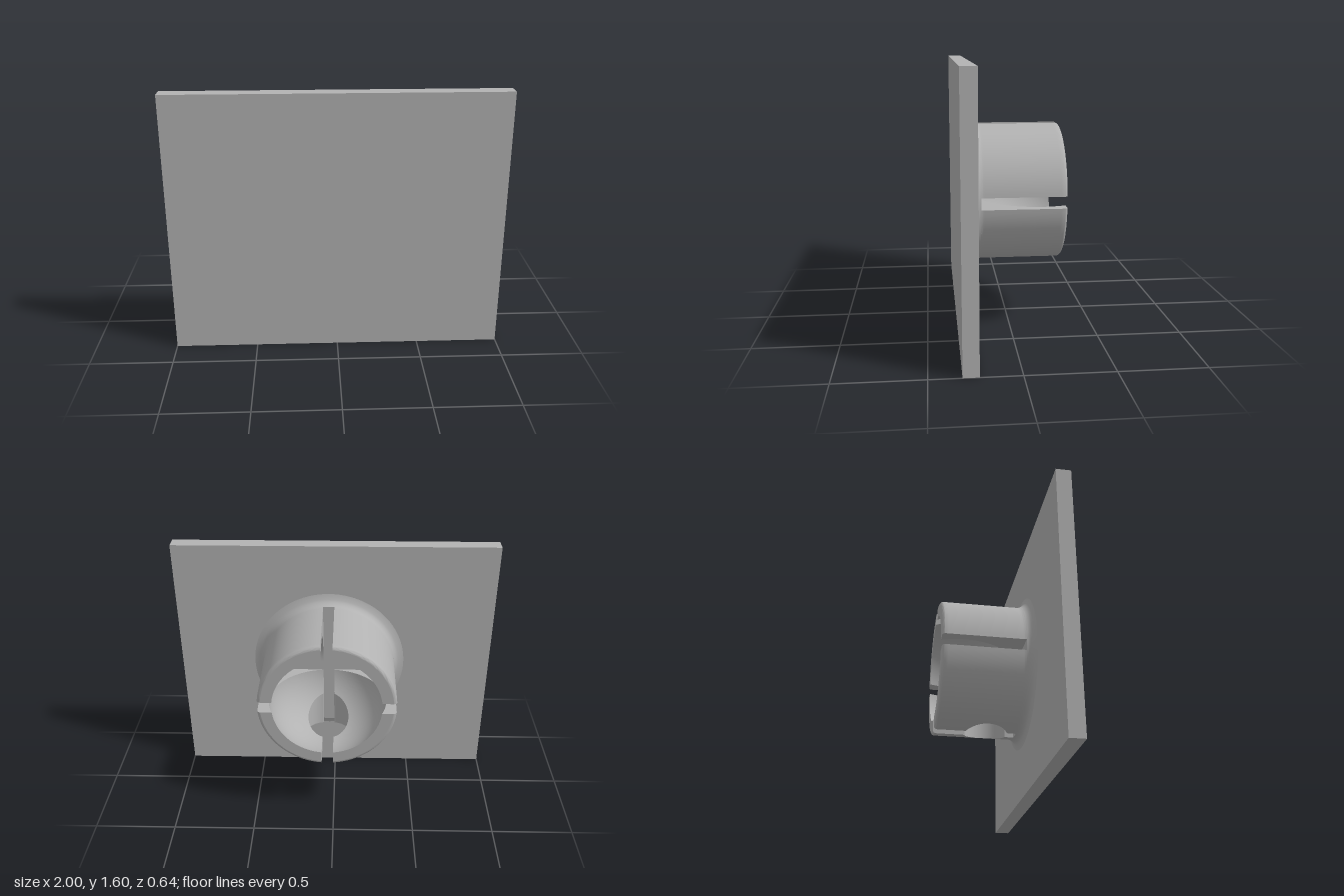
import * as THREE from 'three';
import { toCreasedNormals } from 'three/addons/utils/BufferGeometryUtils.js';

const CX = 0.04, CY = 0.8;              // socket axis
const OUT = 0.42, RIM = -0.32;          // outer radius, mouth position
const BALL = 0.36, BALL_Z = -0.18;      // spherical cavity
const FLOOR = 0.18, BACK = 0.23;        // slot floor, plate's rear face
const HALF_SLOT = 0.035, HOLE = 0.13;   // slot half width, drain hole radius
const FILLET = 0.065, ROUND = 0.02;

// Radii of the socket wall at depth z
function outerR(z) {
  if (z < RIM + ROUND) {
    const d = RIM + ROUND - z;
    return OUT - ROUND + Math.sqrt(Math.max(0, ROUND * ROUND - d * d));
  }
  const d = z - (BACK - FILLET);
  return d > 0 ? OUT + FILLET - Math.sqrt(Math.max(0, FILLET * FILLET - d * d)) : OUT;
}
const innerR = z => Math.max(0.05, Math.sqrt(Math.max(0, BALL * BALL - (z - BALL_Z) ** 2)));

// Surface through a grid of points
function grid(rows, cols, point, flip) {
  const pos = [], idx = [];
  for (let i = 0; i <= rows; i++)
    for (let j = 0; j <= cols; j++) pos.push(...point(i, j / cols));
  for (let i = 0; i < rows; i++)
    for (let j = 0; j < cols; j++) {
      const a = i * (cols + 1) + j, b = a + cols + 1;
      if (flip) idx.push(a, a + 1, b, b, a + 1, b + 1);
      else idx.push(a, b, a + 1, b, b + 1, a + 1);
    }
  const g = new THREE.BufferGeometry();
  g.setAttribute('position', new THREE.Float32BufferAttribute(pos, 3));
  g.setIndex(idx);
  return toCreasedNormals(g, 0.6);
}

// Depth samples: finer at the rounded rim, the hole ends and the cavity bottom
function depths() {
  const zs = [];
  for (let i = 0; i <= 6; i++) zs.push(RIM + ROUND * (1 - Math.cos(i / 6 * Math.PI / 2)));
  for (let i = 1; i <= 10; i++) zs.push(-0.3 + 0.0175 * i);
  for (let i = 1; i <= 24; i++) zs.push(-0.125 * Math.cos(i / 24 * Math.PI));
  for (let i = 1; i <= 14; i++) zs.push(0.125 + 0.055 * Math.sin(i / 14 * Math.PI / 2));
  return zs;
}

// One quarter of the split socket; sx and sy pick the quadrant
function finger(sx, sy, mat) {
  const group = new THREE.Group();
  const zs = depths(), n = zs.length - 1;
  const flip = sx * sy < 0;
  const edge = z => sy < 0
    ? Math.max(HALF_SLOT, Math.sqrt(Math.max(0, HOLE * HOLE - z * z))) : HALF_SLOT;
  const at = (r, z, k) => {
    const t0 = Math.asin(edge(z) / r), t1 = Math.acos(HALF_SLOT / r);
    const t = t0 + (t1 - t0) * k;
    return [sx * r * Math.sin(t), sy * r * Math.cos(t), z];
  };
  const mix = (z, k) => innerR(z) + (outerR(z) - innerR(z)) * k;
  const add = (name, geo) => {
    const m = new THREE.Mesh(geo, mat);
    m.name = name;
    group.add(m);
  };
  add('outerWall', grid(n, 24, (i, k) => at(outerR(zs[i]), zs[i], k), flip));
  add('ballSeat', grid(n, 24, (i, k) => at(innerR(zs[i]), zs[i], k), !flip));
  add('rim', grid(1, 24, (i, k) => at(mix(RIM, i), RIM, k), flip));
  add('verticalSlotWall', grid(n, 6, (i, k) => at(mix(zs[i], k), zs[i], 0), flip));
  add('horizontalSlotWall', grid(n, 6, (i, k) => at(mix(zs[i], k), zs[i], 1), !flip));
  return group;
}

export function createModel() {
  const grey = new THREE.MeshStandardMaterial({ color: 0xb2b2b2 });
  grey.name = 'grey';
  const model = new THREE.Group();
  model.name = 'ballSocketPlate';

  // Mounting plate
  const plate = new THREE.Mesh(new THREE.BoxGeometry(2, 1.6, 0.09), grey);
  plate.name = 'plate';
  plate.position.set(0, 0.8, 0.275);
  model.add(plate);

  const socket = new THREE.Group();
  socket.name = 'socket';
  socket.position.set(CX, CY, 0);
  model.add(socket);

  // Filleted foot whose flat top is the floor of the slots
  const profile = [];
  for (let i = 0; i <= 8; i++) {
    const z = BACK - (BACK - FLOOR) * Math.sin(i / 8 * Math.PI / 2);
    profile.push(new THREE.Vector2(outerR(z), -z));
  }
  profile.push(new THREE.Vector2(0, -FLOOR));
  const footGeo = new THREE.LatheGeometry(profile, 96);
  footGeo.rotateX(-Math.PI / 2);
  const foot = new THREE.Mesh(toCreasedNormals(footGeo, 0.6), grey);
  foot.name = 'foot';
  socket.add(foot);

  // Four spring fingers, the lower pair notched by the drain hole
  for (const sx of [-1, 1])
    for (const sy of [-1, 1]) {
      const f = finger(sx, sy, grey);
      f.name = (sy > 0 ? 'upper' : 'lower') + (sx > 0 ? 'Left' : 'Right') + 'Finger';
      socket.add(f);
    }
  return model;
}
